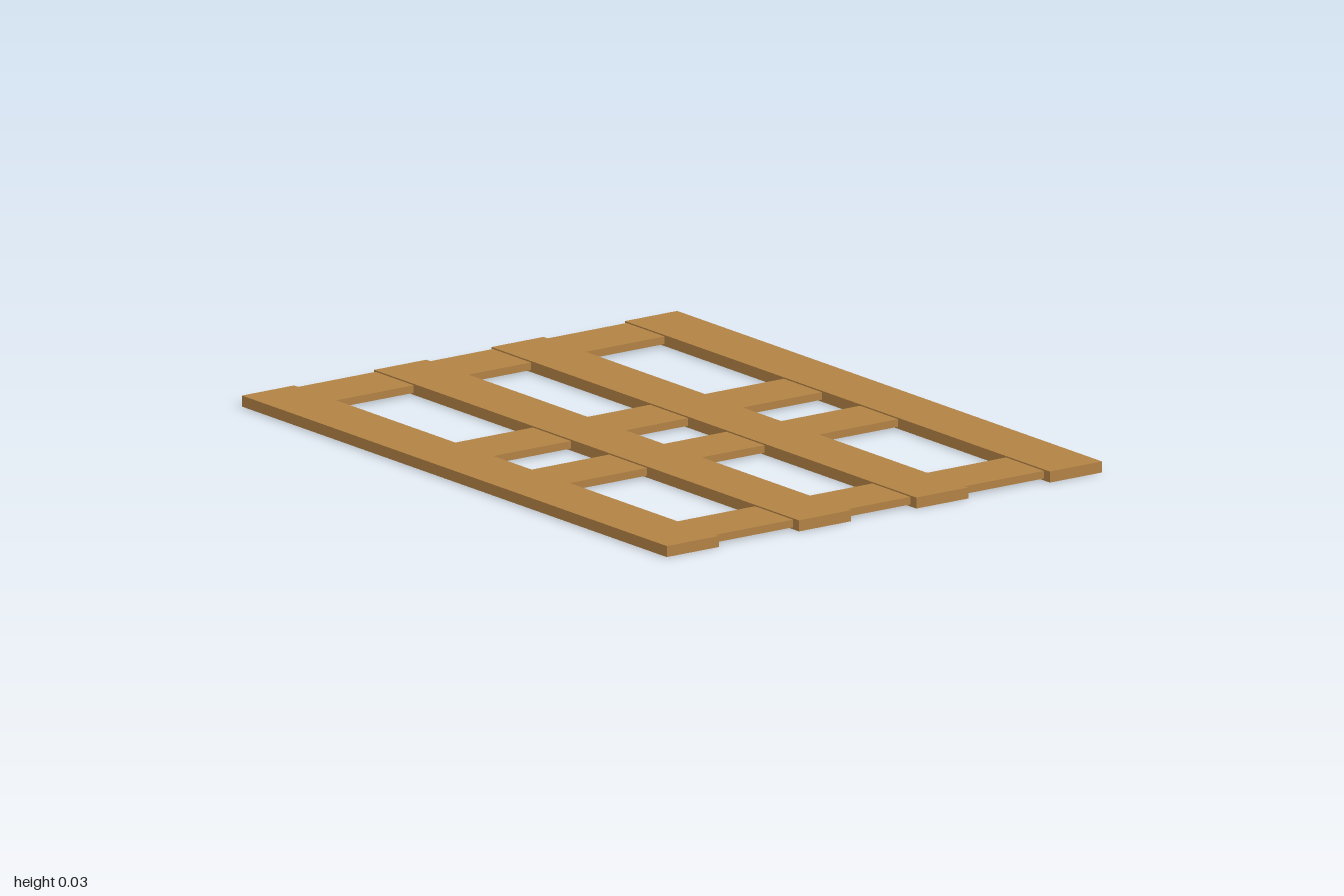
import * as THREE from 'three';

export function createModel() {
  const group = new THREE.Group();
  group.name = 'woodenLattice';
  const wood = new THREE.MeshStandardMaterial({ color: 0xb28244 });
  wood.name = 'wood';

  const addBoard = (name, [w, h, d], [x, y, z]) => {
    const board = new THREE.Mesh(new THREE.BoxGeometry(w, h, d), wood);
    board.name = name;
    board.position.set(x, y, z);
    group.add(board);
  };

  // Long boards running front to back
  [-0.668, -0.207, 0.202, 0.668].forEach((x, i) =>
    addBoard(`longBoard${i + 1}`, [0.182, 0.032, 2], [x, 0.016, 0]));

  // Thinner cross slats set between the faces of the long boards
  [-0.903, -0.163, 0.196, 0.883].forEach((z, i) =>
    addBoard(`crossSlat${i + 1}`, [1.5, 0.022, 0.179], [0, 0.017, z]));

  return group;
}
